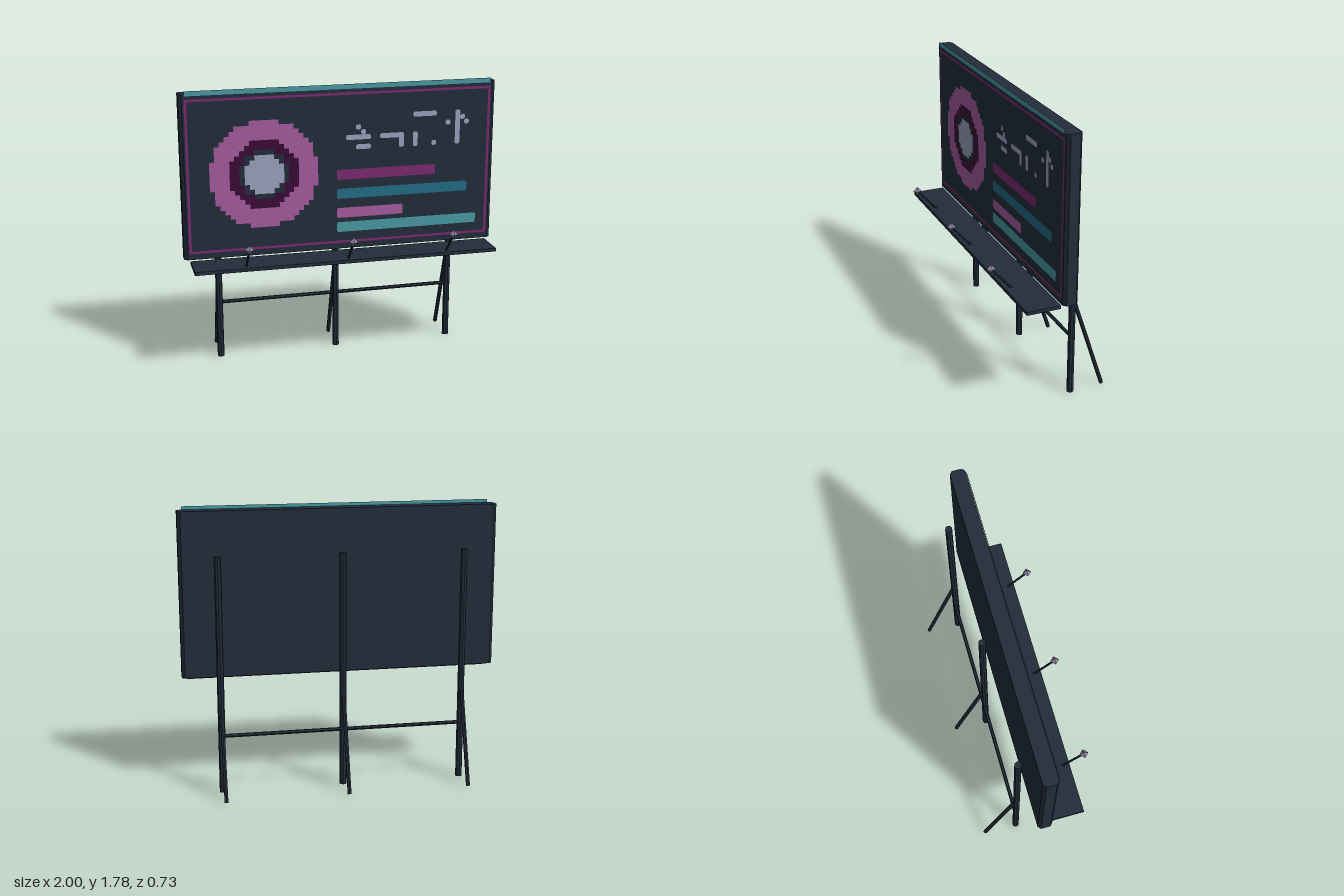
import * as THREE from 'three';

const mat = (name, color, side = THREE.FrontSide) => {
  const m = new THREE.MeshStandardMaterial({ color, side });
  m.name = name;
  return m;
};

export function createModel() {
  const root = new THREE.Group();
  root.name = 'billboard';
  const D = THREE.DoubleSide;
  const slate = mat('slate', 0x222d3b);
  const plum = mat('plum', 0x7b2a70, D);
  const pink = mat('pink', 0xa65c9e, D);
  const aubergine = mat('aubergine', 0x3a0c38, D);
  const pale = mat('pale lavender', 0x9da3bf, D);
  const blue = mat('deep teal', 0x226d86, D);
  const teal = mat('light teal', 0x4a9ba5, D);
  const lampGrey = mat('lamp grey', 0x8a86a0);

  const add = (name, geo, material, x = 0, y = 0, z = 0, parent = root) => {
    const m = new THREE.Mesh(geo, material);
    m.name = name;
    m.position.set(x, y, z);
    parent.add(m);
    return m;
  };
  // faceted rod between two points
  const rod = (name, a, b, r, sides) => {
    const p = new THREE.Vector3(...a), q = new THREE.Vector3(...b);
    const dir = q.clone().sub(p);
    const g = new THREE.CylinderGeometry(r, r, dir.length(), sides).toNonIndexed();
    g.computeVertexNormals();
    const m = add(name, g, slate, ...p.clone().add(q).multiplyScalar(0.5).toArray());
    m.quaternion.setFromUnitVectors(new THREE.Vector3(0, 1, 0), dir.normalize());
  };
  // flat rectangle with small clipped corners
  const plate = (name, x0, x1, y0, y1, material, z, parent = root, c = 0.008) => {
    const s = new THREE.Shape([
      [x0 + c, y0], [x1 - c, y0], [x1, y0 + c], [x1, y1 - c],
      [x1 - c, y1], [x0 + c, y1], [x0, y1 - c], [x0, y0 + c],
    ].map(p => new THREE.Vector2(...p)));
    return add(name, new THREE.ShapeGeometry(s), material, 0, 0, z, parent);
  };

  // display panel with chamfered vertical edges
  const outline = new THREE.Shape([
    [-0.98, -0.04], [0.98, -0.04], [1, -0.023], [1, 0.038],
    [0.98, 0.055], [-0.98, 0.055], [-1, 0.038], [-1, -0.023],
  ].map(p => new THREE.Vector2(...p)));
  const panel = new THREE.ExtrudeGeometry(outline, { depth: 1.035, bevelEnabled: false });
  panel.rotateX(-Math.PI / 2);
  add('panel', panel, slate, 0, 0.73, 0);
  plate('topStrip', -0.965, 0.965, 1.755, 1.785, teal, 0.043, root, 0.001);

  // thin frame line
  const frame = new THREE.Shape();
  const rect = (path, x, y0, y1) => path.moveTo(-x, y0).lineTo(x, y0).lineTo(x, y1).lineTo(-x, y1).closePath();
  rect(frame, 0.968, 0.768, 1.734);
  const hole = new THREE.Path();
  rect(hole, 0.952, 0.784, 1.718);
  frame.holes.push(hole);
  add('frameLine', new THREE.ShapeGeometry(frame), plum, 0, 0, 0.042);

  // stepped discs, stacked from large to small
  const cell = 0.0308;
  const steppedDisc = (r) => {
    const quarter = [];
    for (let j = 0; j < r; j++) {
      const half = Math.round(Math.sqrt(r * r - (j + 0.5) ** 2));
      quarter.push([half, j], [half, j + 1]);
    }
    const right = [...quarter.map(([x, y]) => [x, -y]).reverse(), ...quarter];
    const left = right.map(([x, y]) => [-x, y]).reverse();
    const pts = [...right, ...left].map(([x, y]) => new THREE.Vector2(x * cell, y * cell));
    return new THREE.ShapeGeometry(new THREE.Shape(pts.filter((p, i) => !i || !p.equals(pts[i - 1]))));
  };
  const emblem = new THREE.Group();
  emblem.name = 'target';
  emblem.position.set(-0.49, 1.249, 0.042);
  root.add(emblem);
  [['outerRing', 11, pink], ['innerRing', 7, aubergine], ['gapRing', 5, slate], ['centreDisc', 4, pale]]
    .forEach(([n, r, m], i) => add(n, steppedDisc(r), m, 0, 0, i * 0.0015, emblem));

  // colour bars
  [[0.612, 1.182, plum], [0.827, 1.059, blue], [0.4, 0.934, pink], [0.892, 0.841, teal]]
    .forEach(([x1, y0, m], i) => plate(`bar${i + 1}`, -0.032, x1, y0, y0 + 0.065, m, 0.042 + (i === 3 ? 0.001 : 0)));

  // abstract dashes and dots
  const marks = new THREE.Group();
  marks.name = 'decorativeDashes';
  root.add(marks);
  [
    [0.027, 0.187, 1.434, 1.466], [0.091, 0.187, 1.372, 1.404], [0.091, 0.123, 1.498, 1.53],
    [0.123, 0.155, 1.466, 1.498], [0.246, 0.401, 1.434, 1.466], [0.369, 0.401, 1.372, 1.45],
    [0.46, 0.615, 1.56, 1.592], [0.46, 0.492, 1.372, 1.466], [0.583, 0.615, 1.372, 1.404],
    [0.674, 0.706, 1.498, 1.53], [0.738, 0.77, 1.372, 1.592], [0.77, 0.802, 1.53, 1.562],
    [0.797, 0.829, 1.498, 1.53],
  ].forEach(([x0, x1, y0, y1], i) => plate(`dash${i + 1}`, x0, x1, y0, y1, pale, 0.042, marks));

  // walkway shelf below the panel
  add('shelf', new THREE.BoxGeometry(1.926, 0.022, 0.213), slate, 0, 0.711, 0.146);

  // posts, raking braces and lamps
  for (const i of [-1, 0, 1]) {
    const x = i * 0.77, lx = i * 0.643;
    rod('post', [x, 0, -0.13], [x, 1.5, -0.13], 0.022, 8);
    rod('brace', [x, 0.64, -0.135], [x, 0.008, -0.345], 0.013, 6);
    rod('lampArm', [lx, 0.715, 0.205], [lx, 0.865, 0.34], 0.007, 6);
    add('lamp', new THREE.OctahedronGeometry(0.029), lampGrey, lx, 0.866, 0.34);
  }
  rod('crossbar', [-0.77, 0.37, -0.137], [0.77, 0.37, -0.137], 0.012, 6);

  return root;
}
